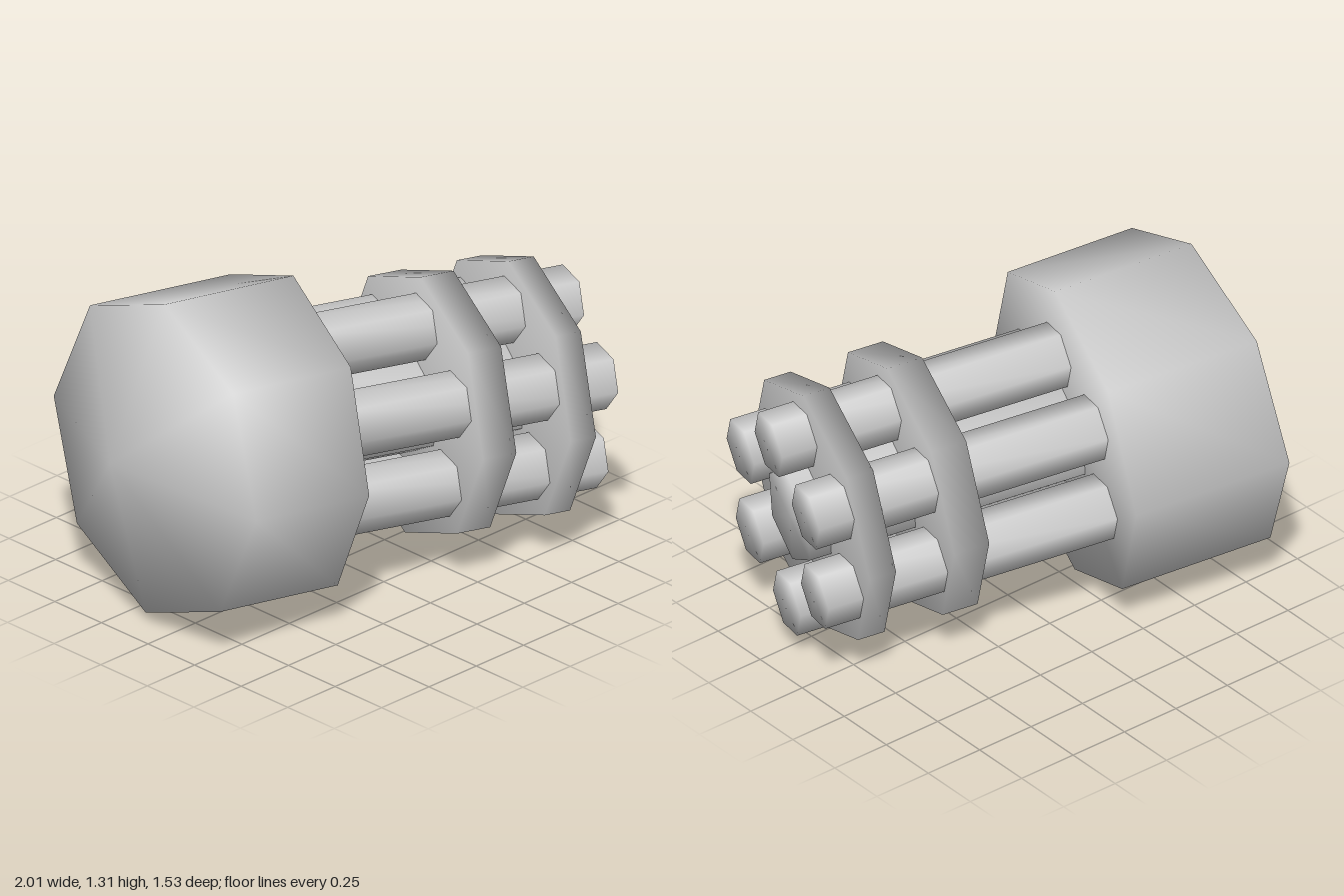
import * as THREE from 'three';
import { mergeVertices } from 'three/addons/utils/BufferGeometryUtils.js';

const material = new THREE.MeshStandardMaterial({ color: 0xcccccc });
const deg = THREE.MathUtils.degToRad;

// Weld all corners so the low-poly shapes shade smoothly
function smooth(geometry) {
  geometry.deleteAttribute('uv');
  geometry.deleteAttribute('normal');
  const welded = mergeVertices(geometry, 1e-4);
  welded.computeVertexNormals();
  return welded;
}

// Prism lying along local x from x0 to x1; phase turns its first corner from +z towards +y
function prism(radius, sides, x0, x1, phase = 0) {
  const g = new THREE.CylinderGeometry(radius, radius, x1 - x0, sides);
  g.rotateZ(-Math.PI / 2);
  g.rotateX(-deg(phase));
  g.translate((x0 + x1) / 2, 0, 0);
  return g;
}

export function createModel() {
  const model = new THREE.Group();
  model.name = 'rotaryBarrelAssembly';

  // Local x runs along the barrels, origin at the front plate
  const axis = new THREE.Group();
  axis.name = 'barrelAxis';
  axis.rotation.set(0, deg(-14.5), deg(-3.6), 'YZX');
  axis.position.set(0.70, 0.575, 0.235);
  model.add(axis);

  const add = (name, geometry) => {
    const mesh = new THREE.Mesh(smooth(geometry), material);
    mesh.name = name;
    axis.add(mesh);
    return mesh;
  };

  // Octagonal drum: slanted rear rim and a shallow pointed back
  const drum = prism(0.64, 8, -1.58, -1.0);
  const p = drum.attributes.position;
  for (let i = 0; i < p.count; i++) {
    if (p.getX(i) > -1.3) continue;
    const z = p.getZ(i);
    if (Math.hypot(p.getY(i), z) < 0.01) p.setX(i, -1.76);
    else p.setXYZ(i, p.getX(i) + 0.11 * z, p.getY(i), z + 0.03);
  }
  add('drum', drum);

  // Two octagonal plates that hold the barrels
  add('middlePlate', prism(0.53, 8, -0.44, -0.295));
  add('frontPlate', prism(0.525, 8, -0.055, 0.055));

  // Central shaft ending in the front hub
  add('centreShaft', prism(0.195, 6, -1.03, 0.145, 30));

  // Six hexagonal barrels around the shaft
  for (let i = 0; i < 6; i++) {
    const a = deg(84 + i * 60);
    const barrel = add('barrel' + (i + 1), prism(0.128, 6, -1.05, 0.2, -8));
    barrel.position.set(0, Math.sin(a) * 0.345 - 0.007, Math.cos(a) * 0.345 - 0.012);
  }

  return model;
}
